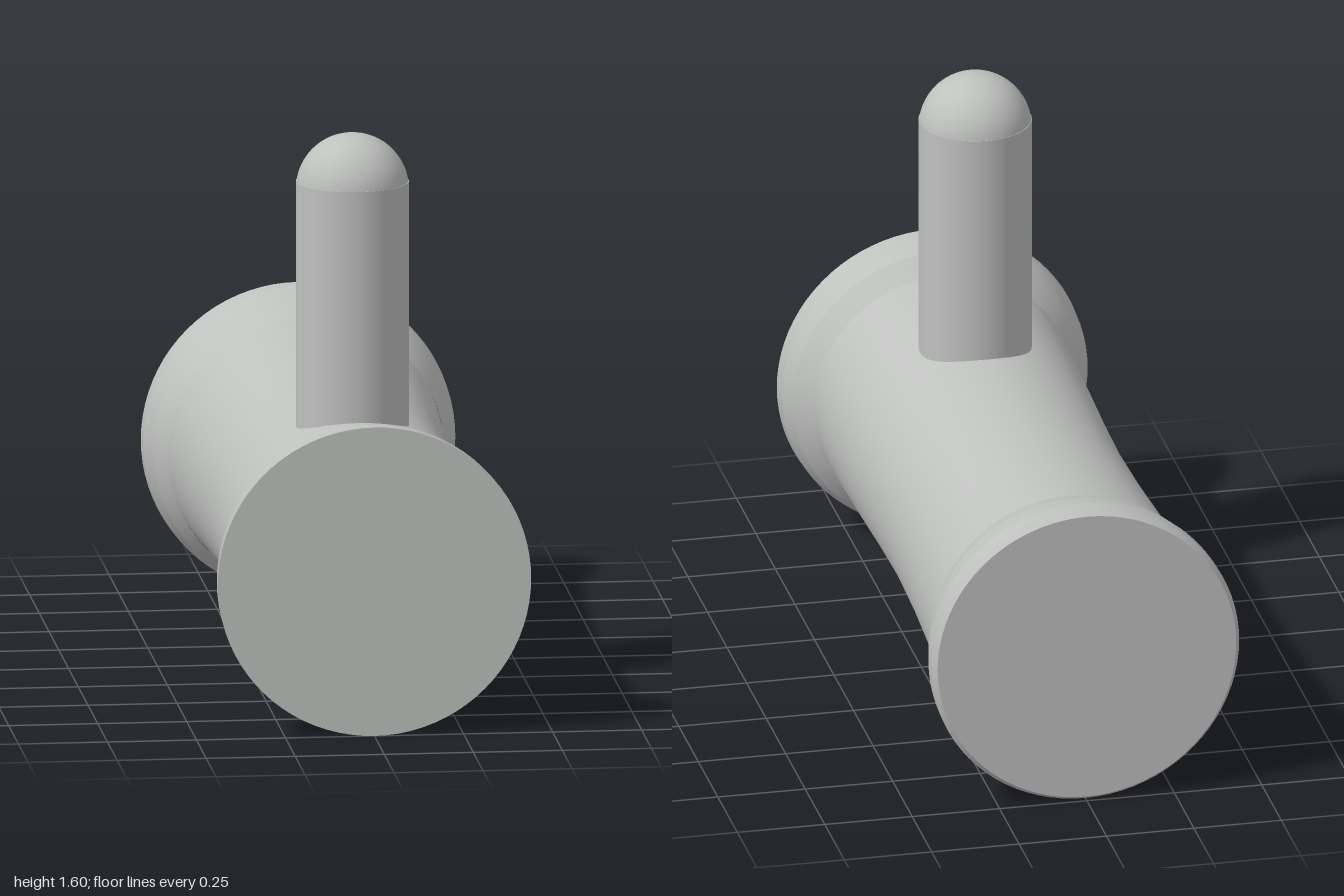
import * as THREE from 'three';
import { toCreasedNormals } from 'three/addons/utils/BufferGeometryUtils.js';

const AXIS_Y = 0.44;
const PEG_Z = 0.43;
const PEG_R = 0.158;

export function createModel() {
  const group = new THREE.Group();
  const grey = new THREE.MeshStandardMaterial({ color: 0xbfc1bf });
  grey.name = 'plain grey';

  const add = (name, geometry, x, y, z) => {
    const mesh = new THREE.Mesh(geometry, grey);
    mesh.name = name;
    mesh.position.set(x, y, z);
    group.add(mesh);
  };

  // Turned part lying along z, from [radius, z] pairs running back to front
  const turned = (name, profile, creased) => {
    const points = profile.map(([r, z]) => new THREE.Vector2(r, z));
    let geometry = new THREE.LatheGeometry(points, 80).rotateX(Math.PI / 2);
    if (creased) geometry = toCreasedNormals(geometry, 0.12);
    add(name, geometry, 0, AXIS_Y, 0);
  };

  // Waisted barrel
  turned('barrel', [
    [0.387, -0.77], [0.373, -0.55], [0.36, -0.28], [0.353, 0],
    [0.357, 0.25], [0.363, 0.45], [0.372, 0.83],
  ], false);

  // Flared collars with flat end faces
  turned('backCollar', [
    [0, -1], [0.427, -1], [0.44, -0.98], [0.438, -0.93],
    [0.42, -0.85], [0.387, -0.76],
  ], true);
  turned('frontCollar', [
    [0.372, 0.83], [0.418, 0.89], [0.437, 0.945], [0.44, 1], [0, 1],
  ], true);

  // Upright peg sunk into the barrel, with a domed end
  const pegBottom = 0.6, pegTop = 1.465;
  add('peg',
    new THREE.CylinderGeometry(PEG_R, PEG_R, pegTop - pegBottom, 64),
    0, (pegTop + pegBottom) / 2, PEG_Z);
  add('pegDome',
    new THREE.SphereGeometry(PEG_R, 64, 24, 0, Math.PI * 2, 0, Math.PI / 2),
    0, 1.6 - PEG_R, PEG_Z);

  return group;
}
